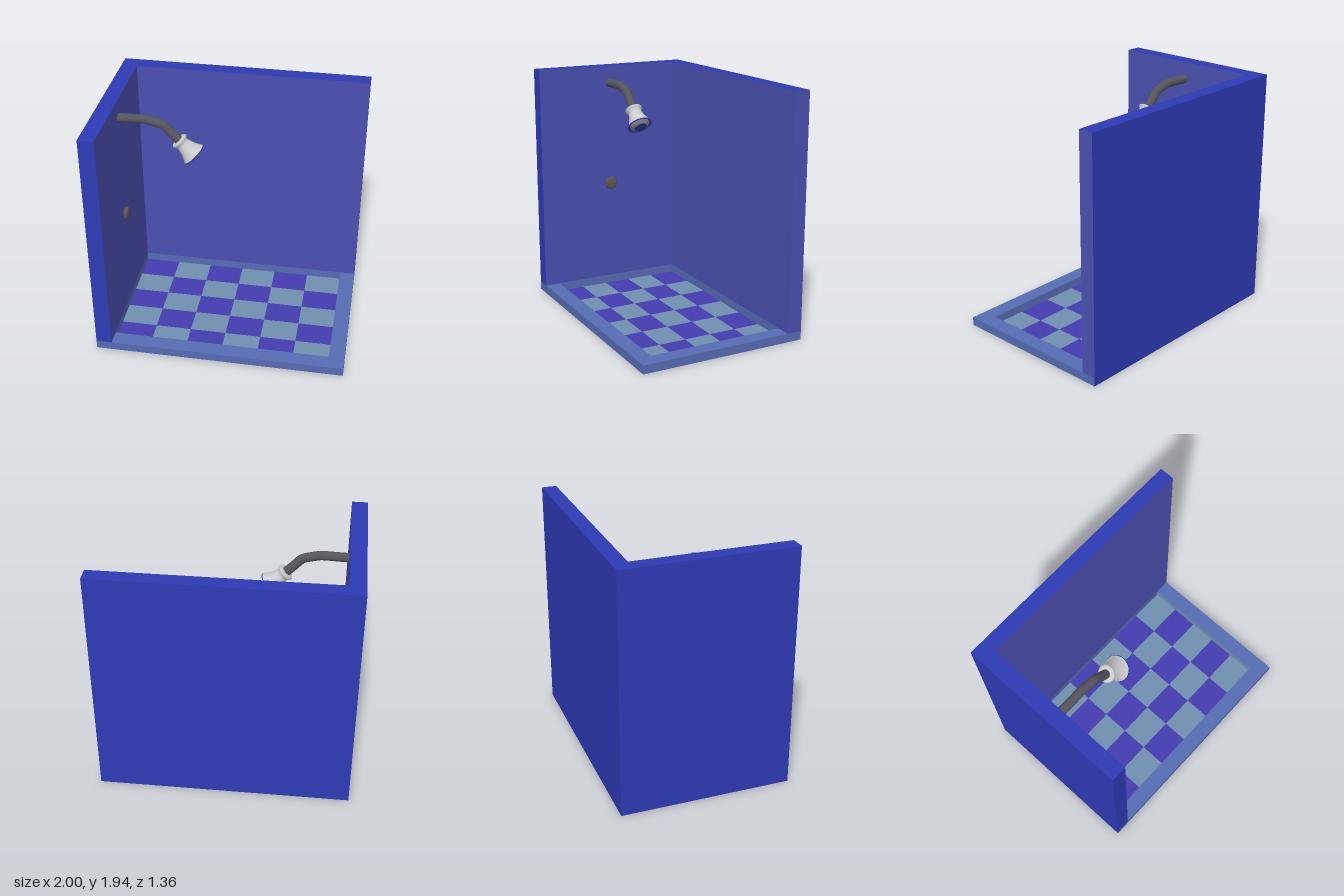
import * as THREE from 'three';

const BLUE = 0x2e3ab4, INNER = 0x4a50b0, LIP = 0x566bb4, TEAL = 0x7090ae, PURPLE = 0x443cb0;
const GREY = 0xcccccc, DARK = 0x55565c;

function mat(color, flat = false) {
  return new THREE.MeshStandardMaterial({ color, flatShading: flat, side: THREE.DoubleSide });
}

function add(parent, name, geometry, material) {
  const mesh = new THREE.Mesh(geometry, material);
  mesh.name = name;
  parent.add(mesh);
  return mesh;
}

// Axis-aligned panel from min to max corner; one axis has no depth. sign is the facing direction.
function panel(parent, name, color, min, max, sign = 1) {
  const size = max.map((v, i) => v - min[i]);
  const axis = size.findIndex((s) => s === 0);
  const geo = axis === 0 ? new THREE.PlaneGeometry(size[2], size[1])
    : axis === 1 ? new THREE.PlaneGeometry(size[0], size[2])
      : new THREE.PlaneGeometry(size[0], size[1]);
  if (axis === 0) geo.rotateY(sign * Math.PI / 2);
  else if (axis === 1) geo.rotateX(-sign * Math.PI / 2);
  else if (sign < 0) geo.rotateY(Math.PI);
  const mesh = add(parent, name, geo, mat(color));
  mesh.position.set(...min.map((v, i) => (v + max[i]) / 2));
  return mesh;
}

function lathe(parent, name, color, points, sides = 24) {
  return add(parent, name, new THREE.LatheGeometry(points.map((p) => new THREE.Vector2(...p)), sides), mat(color));
}

export function createModel() {
  const model = new THREE.Group();
  model.name = 'showerCorner';
  const H = 1.94, C = 0.07, Z = 0.68;      // wall height, curb height, half depth
  const xi = 0.875, zb = -0.56, zf = 0.555; // inner floor limits

  // Hollow L-shaped walls, open underneath
  const walls = new THREE.Group();
  walls.name = 'walls';
  model.add(walls);
  panel(walls, 'backWallOuter', BLUE, [-1, 0, -Z], [1, H, -Z], -1);
  panel(walls, 'backWallInner', INNER, [-xi, C, zb], [1, H, zb]);
  panel(walls, 'backWallTop', BLUE, [-1, H, -Z], [1, H, zb]);
  panel(walls, 'backWallEnd', INNER, [1, C, -Z], [1, H, zb]);
  panel(walls, 'sideWallOuter', BLUE, [-1, 0, -Z], [-1, H, Z], -1);
  panel(walls, 'sideWallInner', INNER, [-xi, C, zb], [-xi, H, Z]);
  panel(walls, 'sideWallTop', BLUE, [-1, H, zb], [-xi, H, Z]);
  panel(walls, 'sideWallEnd', BLUE, [-1, C, Z], [-xi, H, Z]);

  // Raised curb around the floor
  const curb = new THREE.Group();
  curb.name = 'curb';
  model.add(curb);
  panel(curb, 'curbFront', LIP, [-1, 0, Z], [1, C, Z]);
  panel(curb, 'curbRight', LIP, [1, 0, -Z], [1, C, Z]);
  panel(curb, 'curbFrontTop', LIP, [-xi, C, zf], [1, C, Z]);
  panel(curb, 'curbRightTop', LIP, [xi, C, zb], [1, C, zf]);
  panel(curb, 'curbInnerFront', LIP, [-xi, 0, zf], [xi, C, zf], -1);
  panel(curb, 'curbInnerBack', LIP, [-xi, 0, zb], [xi, C, zb]);
  panel(curb, 'curbInnerRight', TEAL, [xi, 0, zb], [xi, C, zf], -1);
  panel(curb, 'curbInnerLeft', LIP, [-xi, 0, zb], [-xi, C, zf]);

  // Checkered floor, 6 by 5 tiles
  const floor = new THREE.Group();
  floor.name = 'floor';
  model.add(floor);
  const tx = 2 * xi / 6, tz = (zf - zb) / 5;
  for (let i = 0; i < 6; i++) {
    for (let j = 0; j < 5; j++) {
      const x = -xi + i * tx, z = zb + j * tz;
      panel(floor, 'floorTile', (i + j) % 2 ? TEAL : PURPLE, [x, 0, z], [x + tx, 0, z + tz]);
    }
  }

  // Bent pipe from the side wall
  const path = new THREE.CatmullRomCurve3(
    [[-0.88, 1.797], [-0.78, 1.8], [-0.66, 1.803], [-0.525, 1.768], [-0.46, 1.7], [-0.39, 1.63]]
      .map(([x, y]) => new THREE.Vector3(x, y, 0.053)), false, 'catmullrom', 0.2);
  add(model, 'showerArm', new THREE.TubeGeometry(path, 24, 0.036, 10, false), mat(DARK));

  // Shower head, modelled along +y and tilted down and outward
  const head = new THREE.Group();
  head.name = 'showerHead';
  lathe(head, 'headBell', GREY, [[0.034, -0.012], [0.06, -0.012], [0.069, -0.004], [0.069, 0.008],
    [0.055, 0.018], [0.054, 0.035], [0.06, 0.065], [0.072, 0.1], [0.088, 0.135], [0.1, 0.152]]);
  lathe(head, 'headRim', BLUE, [[0.1, 0.152], [0.102, 0.158], [0.096, 0.162], [0.084, 0.152]]);
  lathe(head, 'sprayRing', 0x8c8c90, [[0.084, 0.152], [0.078, 0.16], [0.068, 0.17], [0.053, 0.178]]);
  lathe(head, 'sprayFace', 0x3440a0, [[0.053, 0.178], [0.03, 0.184], [0, 0.186]]);
  head.position.set(-0.4, 1.639, 0.053);
  head.rotation.z = -Math.PI * 0.75;
  model.add(head);

  // Eight-sided tap knob on the side wall
  const knob = add(model, 'tapKnob', new THREE.LatheGeometry(
    [[0.05, 0], [0.056, 0.008], [0.055, 0.026], [0.042, 0.035], [0, 0.037]]
      .map((p) => new THREE.Vector2(...p)), 8), mat(0x5c5650));
  knob.position.set(-xi, 0.92, 0.053);
  knob.rotation.z = -Math.PI / 2;

  return model;
}
